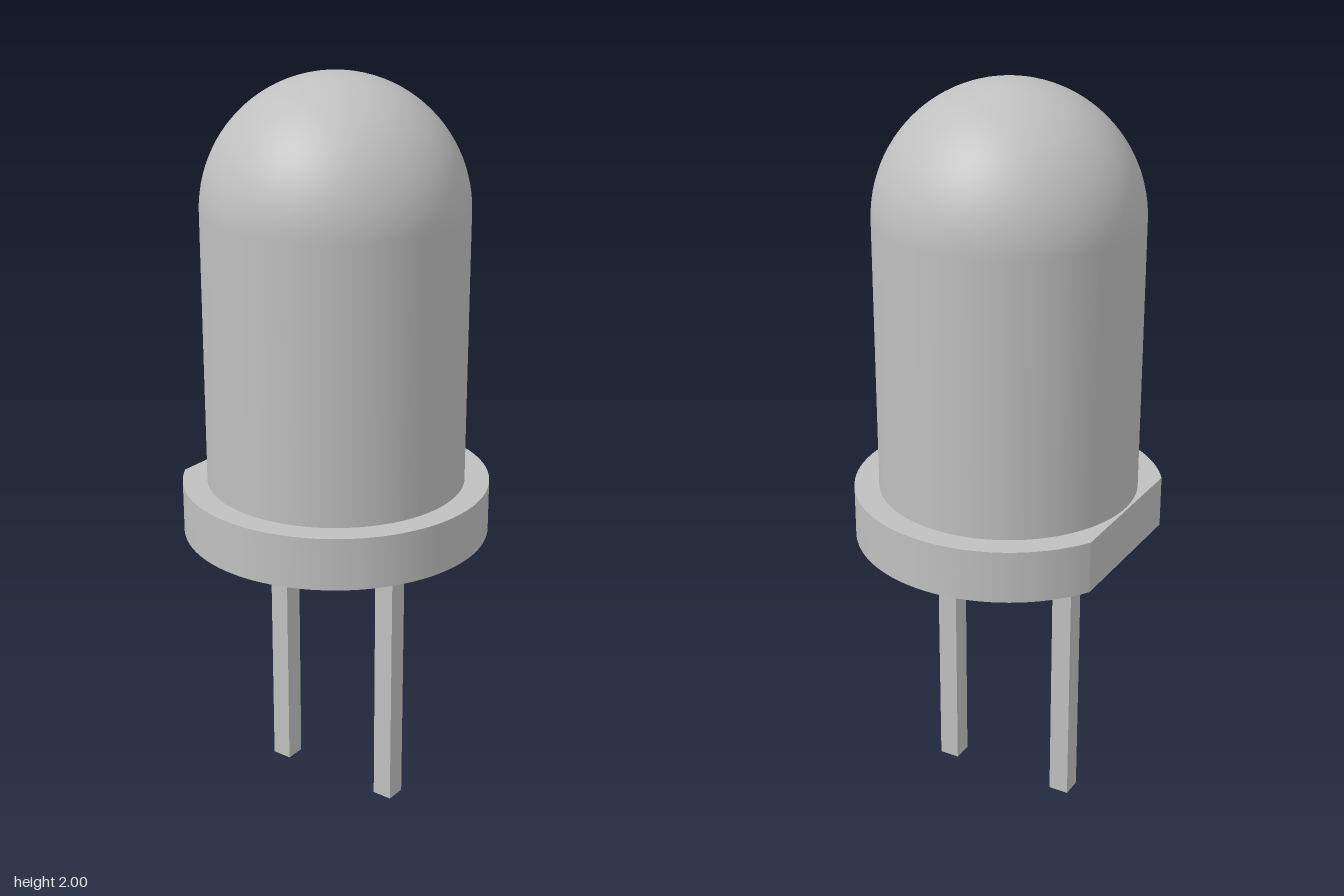
import * as THREE from 'three';
import { toCreasedNormals } from 'three/addons/utils/BufferGeometryUtils.js';

export function createModel() {
  const model = new THREE.Group();
  model.name = 'lightEmittingDiode';
  const grey = new THREE.MeshStandardMaterial({ color: 0xc0c0c0 });
  grey.name = 'plain grey';

  const axisX = -0.03; // the flat on the rim shifts the round axis off centre
  const rimBottom = 0.785, rimTop = 0.926;
  const bodyRadius = 0.345, rimRadius = 0.411, flatX = -0.352;

  const add = (name, geometry, x, y) => {
    const mesh = new THREE.Mesh(geometry, grey);
    mesh.name = name;
    mesh.position.set(x, y, 0);
    model.add(mesh);
  };

  // Lens: straight cylinder closed by a hemispherical dome
  const domeY = 2 - bodyRadius;
  const profile = [new THREE.Vector2(bodyRadius, rimTop - 0.02)];
  const steps = 24;
  for (let i = 0; i <= steps; i++) {
    const a = (i / steps) * Math.PI / 2;
    profile.push(new THREE.Vector2(
      i === steps ? 0 : bodyRadius * Math.cos(a), domeY + bodyRadius * Math.sin(a)));
  }
  add('lens', new THREE.LatheGeometry(profile, 96), axisX, 0);

  // Rim: disc with one flat side facing -x
  const cut = Math.acos(flatX / rimRadius);
  const outline = new THREE.Shape();
  outline.absarc(0, 0, rimRadius, -cut, cut, false);
  outline.closePath();
  const rim = new THREE.ExtrudeGeometry(outline, {
    depth: rimTop - rimBottom, bevelEnabled: false, curveSegments: 96,
  });
  rim.rotateX(-Math.PI / 2);
  add('rim', toCreasedNormals(rim, 0.4), axisX, rimBottom);

  // Two square wire leads
  for (const [name, side] of [['leftLead', 1], ['rightLead', -1]]) {
    add(name, new THREE.BoxGeometry(0.056, rimBottom, 0.056),
      axisX + side * 0.18, rimBottom / 2);
  }
  return model;
}
